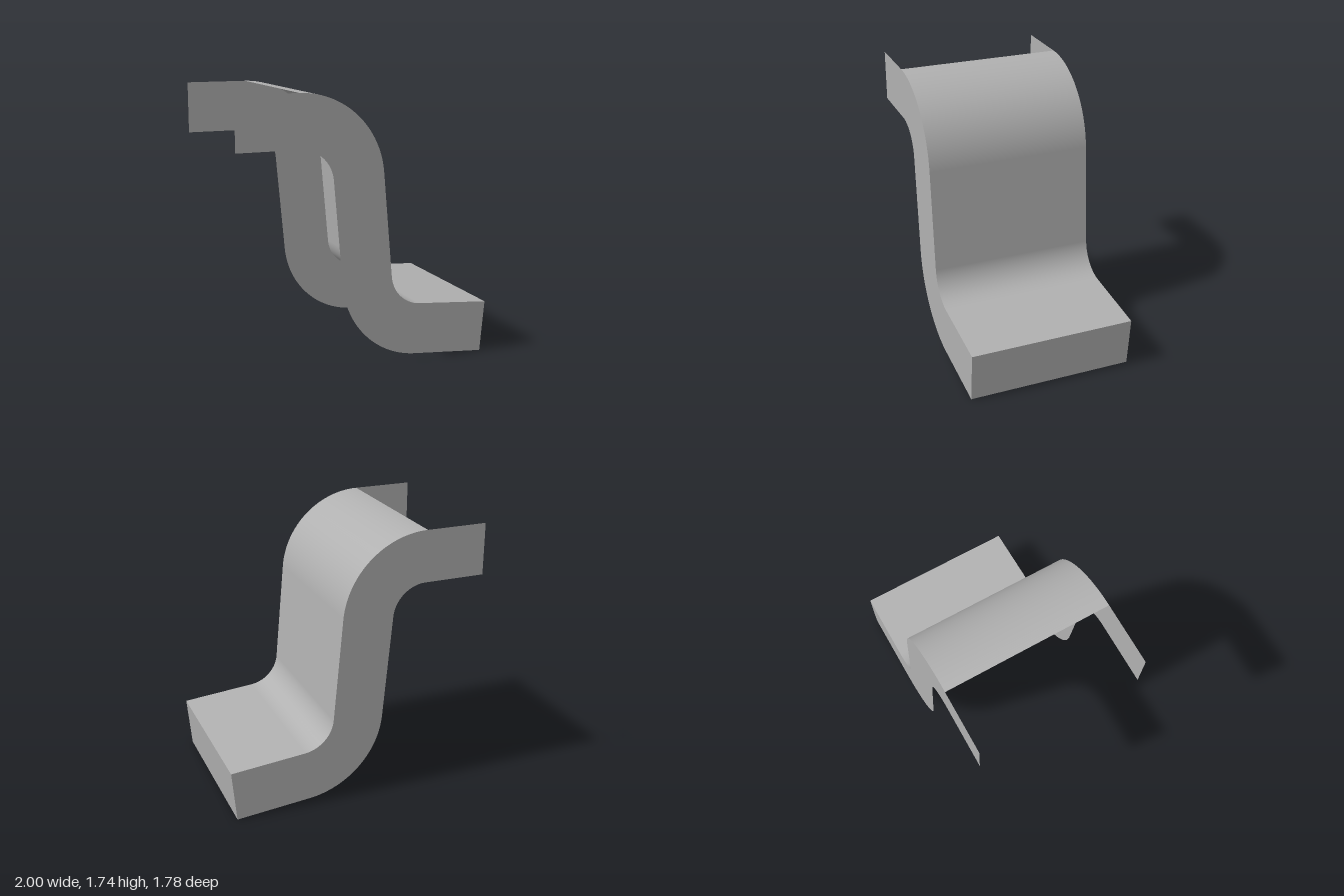
import * as THREE from 'three';

const rad = THREE.MathUtils.degToRad;
const HALF_WIDTH = 0.54;
const BIG = 0.551, SMALL = 0.216;            // outer and inner bend radii
const TOP = { x: -0.445, y: 1.194 };         // centre of the upper bend
const LOW = { x: 0.379, y: 0.593 };          // centre of the lower bend
const BACK = -0.843, RUN = 0.485;            // rear end, length of the lower run

// Point at the front end of the lower run, at a given bend radius
function frontPoint(radius) {
  const a = rad(265), d = rad(-5);
  return new THREE.Vector2(
    LOW.x + radius * Math.cos(a) + RUN * Math.cos(d),
    LOW.y + radius * Math.sin(a) + RUN * Math.sin(d));
}

// Sheet swept across the width along a list of profile points
function sheet(points, material, name) {
  const pos = [], index = [];
  points.forEach((p, i) => {
    pos.push(p.x, p.y, HALF_WIDTH, p.x, p.y, -HALF_WIDTH);
    if (i > 0) {
      const a = 2 * (i - 1);
      index.push(a, a + 2, a + 1, a + 1, a + 2, a + 3);
    }
  });
  const g = new THREE.BufferGeometry();
  g.setAttribute('position', new THREE.Float32BufferAttribute(pos, 3));
  g.setIndex(index);
  g.computeVertexNormals();
  const mesh = new THREE.Mesh(g, material);
  mesh.name = name;
  return mesh;
}

export function createModel() {
  const group = new THREE.Group();
  group.name = 'bentChannel';
  const grey = new THREE.MeshStandardMaterial({ color: 0xb0b0b0, side: THREE.DoubleSide });
  grey.name = 'grey';

  const upper = frontPoint(SMALL), lower = frontPoint(BIG);

  // S-shaped side plates
  const s = new THREE.Shape();
  s.moveTo(BACK, TOP.y + BIG);
  s.lineTo(TOP.x, TOP.y + BIG);
  s.absarc(TOP.x, TOP.y, BIG, rad(90), rad(5), true);
  s.absarc(LOW.x, LOW.y, SMALL, rad(185), rad(265), false);
  s.lineTo(upper.x, upper.y);
  s.lineTo(lower.x, lower.y);
  s.absarc(LOW.x, LOW.y, BIG, rad(265), rad(185), true);
  s.absarc(TOP.x, TOP.y, SMALL, rad(5), rad(90), false);
  s.lineTo(BACK, TOP.y + SMALL);
  s.closePath();
  const plate = new THREE.ShapeGeometry(s, 32);
  for (const [name, side] of [['rightSidePlate', 1], ['leftSidePlate', -1]]) {
    const geometry = plate.clone();
    if (side < 0) geometry.scale(-1, 1, 1).rotateY(Math.PI).scale(1, 1, 1);
    const mesh = new THREE.Mesh(geometry, grey);
    mesh.position.z = side * HALF_WIDTH;
    mesh.name = name;
    group.add(mesh);
  }

  // Curved web joining the plates, starting at the upper bend
  const path = new THREE.Path();
  path.absarc(TOP.x, TOP.y, BIG, rad(90), rad(5), true);
  path.absarc(LOW.x, LOW.y, SMALL, rad(185), rad(265), false);
  path.lineTo(upper.x, upper.y);
  group.add(sheet(path.getPoints(32), grey, 'web'));

  // Flat end closing the front of the lower run
  group.add(sheet([upper, lower], grey, 'frontEnd'));

  group.rotation.y = rad(-30);
  const model = new THREE.Group();
  model.name = 'model';
  model.add(group);
  return model;
}
